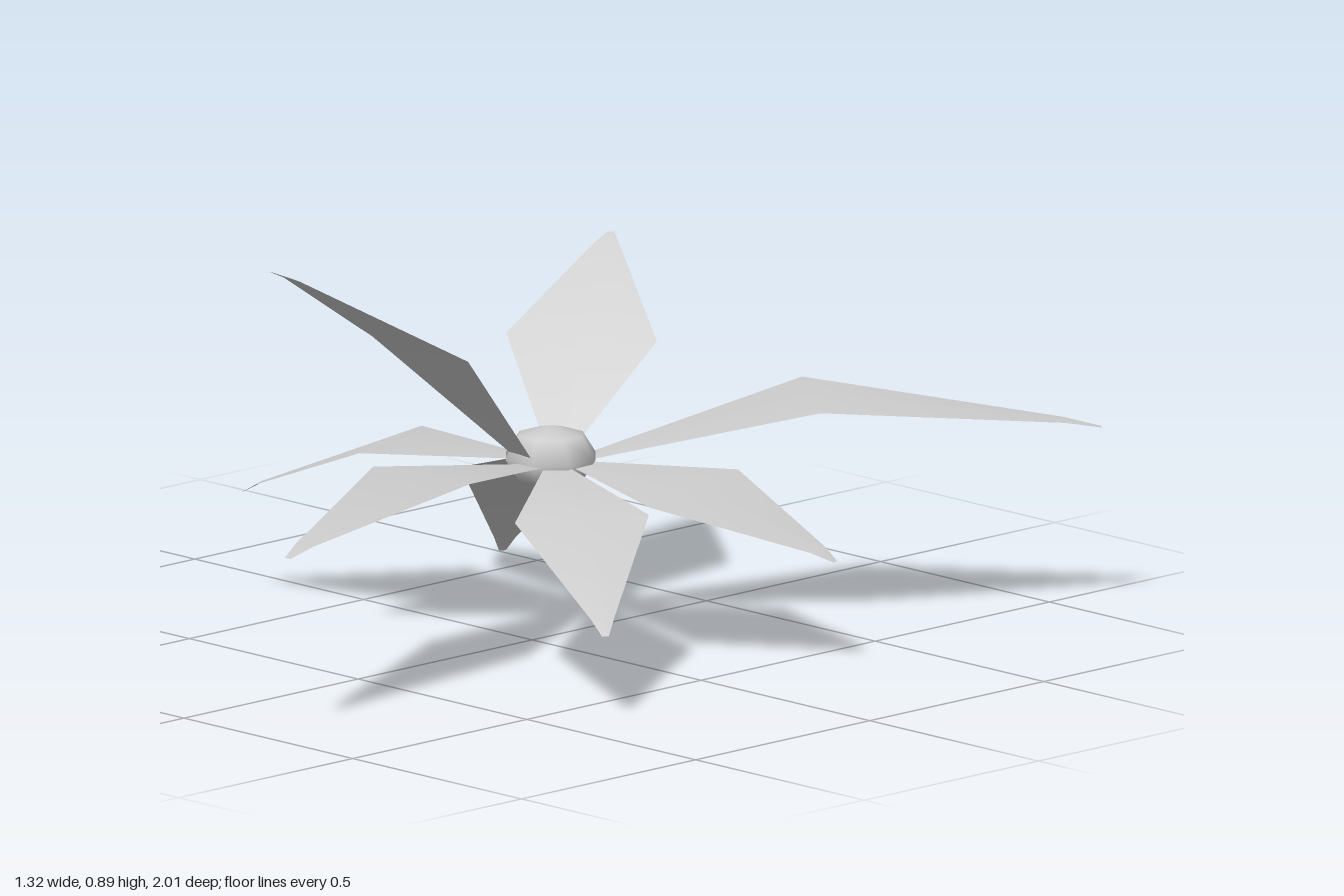
import * as THREE from 'three';

const HUB = new THREE.Vector3(0, 0.383, -0.053);

// Each petal: left corner, right corner (looking outward) and tip
const PETALS = {
  backLongPetal: [[0.19, 0.495, -0.59], [0.43, 0.488, -0.41], [0.655, 0.4, -1]],
  leftBackPetal: [[0.3, 0.365, -0.3], [0.38, 0.352, 0.03], [0.63, 0.232, -0.26]],
  leftFrontPetal: [[0.418, 0.35, 0.07], [0.254, 0.342, 0.296], [0.635, 0.185, 0.405]],
  frontLongPetal: [[0.265, 0.45, 0.434], [0.045, 0.46, 0.5], [0.307, 0.393, 1]],
  frontRaisedPetal: [[0.13, 0.665, 0.31], [-0.167, 0.665, 0.296], [-0.04, 0.892, 0.71]],
  rightPetal: [[-0.295, 0.382, 0.21], [-0.4, 0.376, -0.07], [-0.66, 0.235, 0.19]],
  backDroopingPetal: [[-0.415, 0.265, -0.196], [-0.25, 0.265, -0.4], [-0.615, 0.002, -0.51]],
  backRaisedPetal: [[-0.263, 0.578, -0.18], [0.013, 0.58, -0.345], [-0.257, 0.745, -0.475]],
};

// Kite-shaped blade: four rows of three points, slightly arched along its rib
function petalGeometry(corners) {
  const [a, b, tip] = corners.map((p) => new THREE.Vector3(...p));
  const mid = a.clone().lerp(b, 0.5);
  const side = a.clone().sub(b).normalize();
  const up = side.clone().cross(tip.clone().sub(mid)).normalize().negate();

  const out = mid.clone().sub(HUB).setY(0).normalize();
  const base = HUB.clone().addScaledVector(out, 0.06).setY(0.375);
  const at = (p, s) => p.clone().addScaledVector(side, s);
  const tipL = at(tip, 0.007);
  const tipR = at(tip, -0.007);
  const near = (p, q) => p.clone().lerp(q, 0.87).addScaledVector(up, 0.006);

  const rows = [
    [at(base, 0.022), at(base, -0.022), 0],
    [a, b, 0.006],
    [near(a, tipL), near(b, tipR), 0.002],
    [tipL, tipR, 0],
  ];
  const points = [];
  for (const [l, r, lift] of rows) {
    points.push(l, l.clone().lerp(r, 0.5).addScaledVector(up, lift), r);
  }
  const index = [];
  for (let row = 0; row < 3; row++) {
    for (let col = 0; col < 2; col++) {
      const i = row * 3 + col;
      index.push(i, i + 1, i + 3, i + 1, i + 4, i + 3);
    }
  }
  const geometry = new THREE.BufferGeometry().setFromPoints(points);
  geometry.setIndex(index);
  geometry.computeVertexNormals();
  return geometry;
}

export function createModel() {
  const group = new THREE.Group();
  group.name = 'flower';
  const grey = new THREE.MeshStandardMaterial({ color: 0xcccccc, side: THREE.DoubleSide });
  grey.name = 'pale grey';

  // Squashed round centre
  const hub = new THREE.Mesh(new THREE.SphereGeometry(0.1, 8, 4), grey);
  hub.name = 'flowerCentre';
  hub.scale.y = 0.66;
  hub.rotation.y = Math.PI / 8;
  hub.position.copy(HUB);
  group.add(hub);

  // Petals around the centre
  for (const [name, corners] of Object.entries(PETALS)) {
    const petal = new THREE.Mesh(petalGeometry(corners), grey);
    petal.name = name;
    group.add(petal);
  }
  return group;
}
